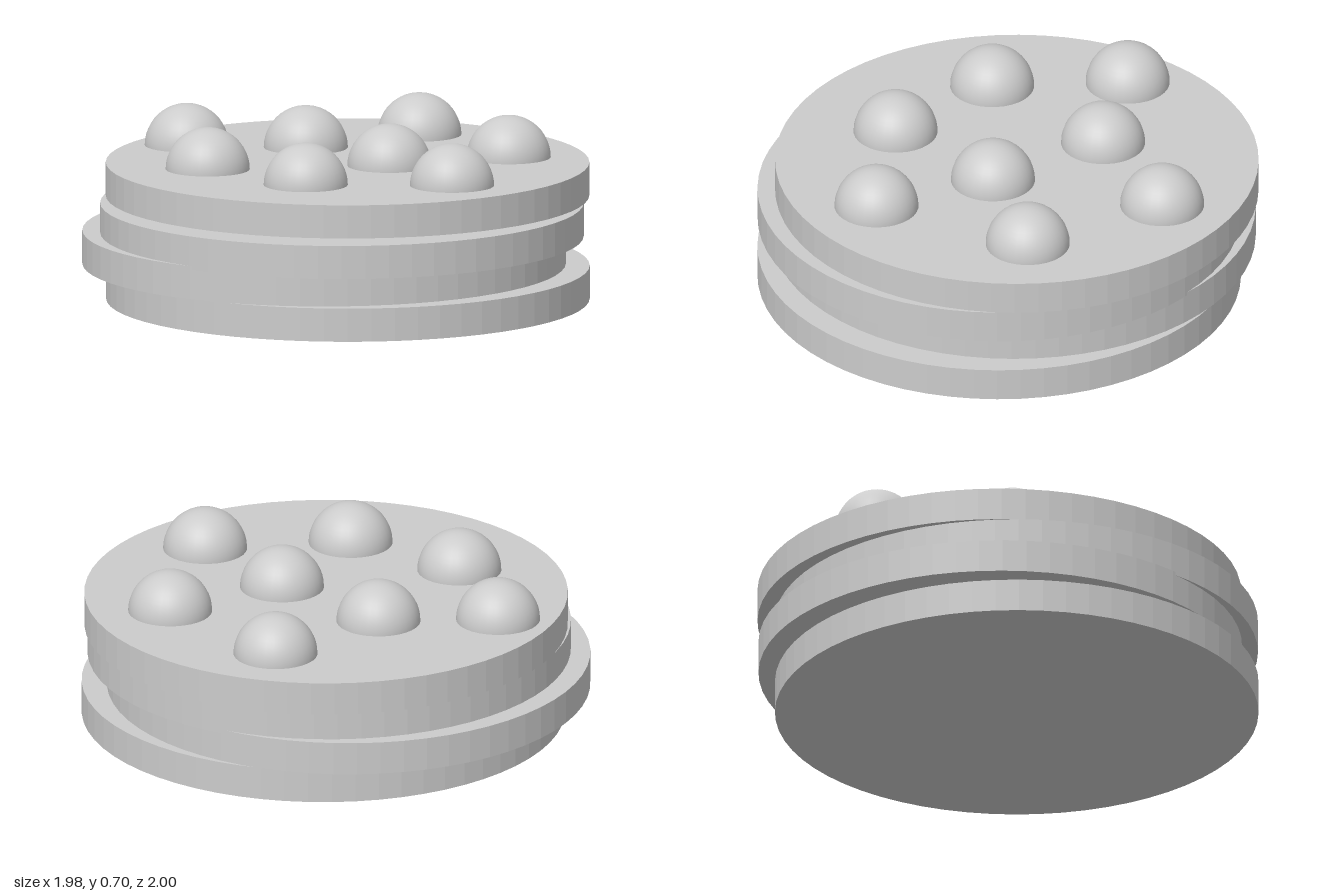
import * as THREE from 'three';

export function createModel() {
  const model = new THREE.Group();
  const discMaterial = new THREE.MeshStandardMaterial({ color: 0xcccccc, flatShading: true });
  const ballMaterial = new THREE.MeshStandardMaterial({ color: 0xcccccc });

  // Stack of slightly offset round layers: name, x, bottom y, z
  const layerHeight = 0.132;
  const discGeometry = new THREE.CylinderGeometry(0.948, 0.948, layerHeight, 64);
  const layers = [
    ['bottomLayer', -0.01, 0, 0.05],
    ['secondLayer', -0.042, 0.132, -0.05],
    ['thirdLayer', -0.028, 0.25, 0.035],
    ['topLayer', 0.038, 0.399, 0],
  ];
  for (const [name, x, y, z] of layers) {
    const disc = new THREE.Mesh(discGeometry, discMaterial);
    disc.name = name;
    disc.position.set(x, y + layerHeight / 2, z);
    model.add(disc);
  }

  // Balls sunk halfway into the top layer: x, z
  const ballGeometry = new THREE.SphereGeometry(0.165, 32, 24);
  const balls = new THREE.Group();
  balls.name = 'toppingBalls';
  const spots = [
    [-0.147, -0.707], [-0.46, -0.277], [0.15, -0.344], [0.663, -0.228],
    [-0.428, 0.235], [0.1, 0.17], [0.563, 0.368], [-0.032, 0.65],
  ];
  for (const [x, z] of spots) {
    const ball = new THREE.Mesh(ballGeometry, ballMaterial);
    ball.name = 'toppingBall';
    ball.position.set(x, 0.531, z);
    balls.add(ball);
  }
  model.add(balls);

  return model;
}
